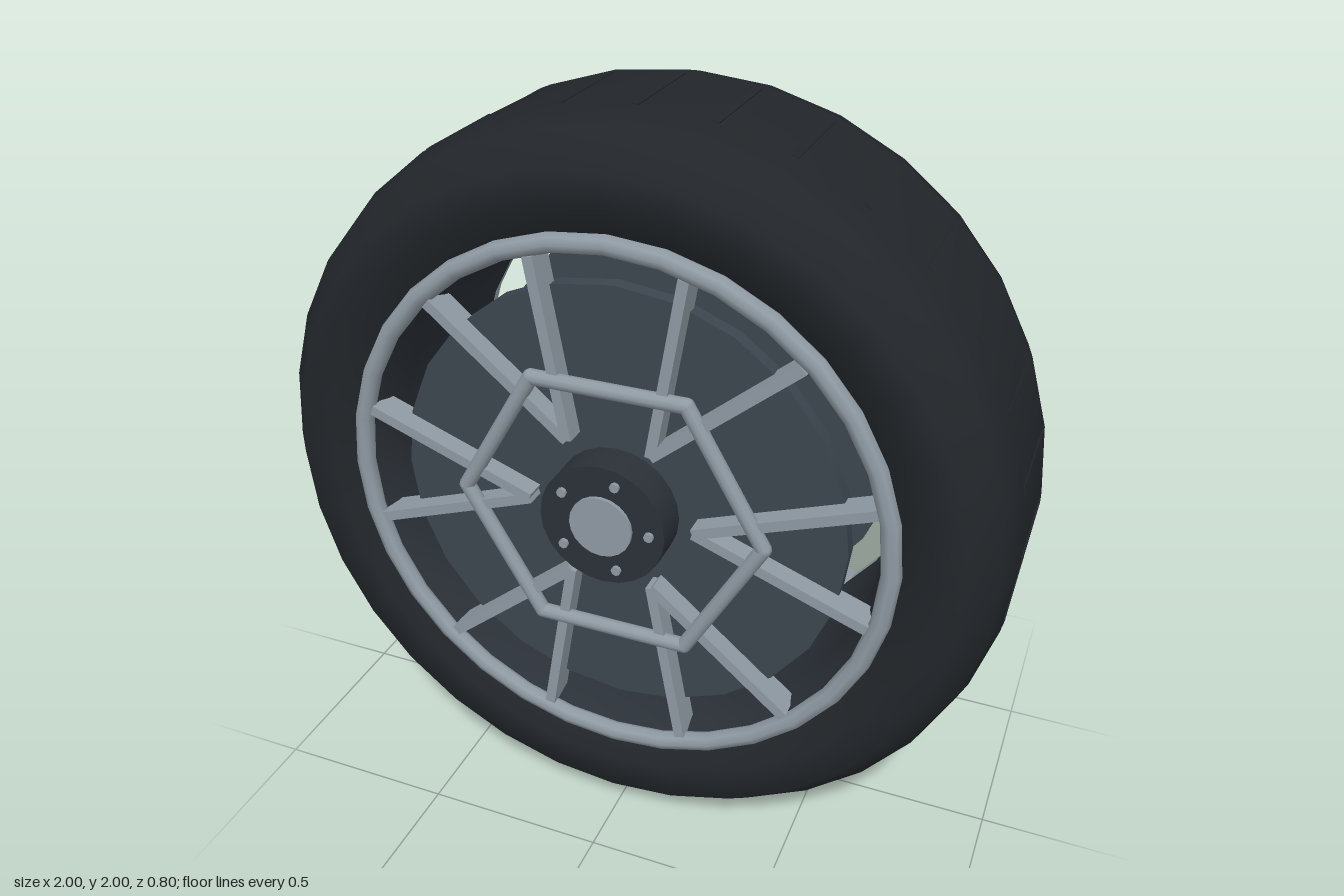
import * as THREE from 'three';

const mat = (color, side = THREE.FrontSide) => new THREE.MeshStandardMaterial({ color, side });
const rubber = mat(0x22262a);
const metal = mat(0x8f9aa3);
const plate = mat(0x3c464f);
const dark = mat(0x2b3138);
const barrelMat = mat(0x2b3138, THREE.DoubleSide);

function add(parent, name, geometry, material) {
  const mesh = new THREE.Mesh(geometry, material);
  mesh.name = name;
  parent.add(mesh);
  return mesh;
}

// Lathe turned about the wheel's axle (z) from [radius, z] pairs
function turned(profile) {
  const points = profile.map(([r, z]) => new THREE.Vector2(r, z));
  return new THREE.LatheGeometry(points, 32).rotateX(Math.PI / 2);
}

// Cylinder along z between two depths
function disc(radius, z0, z1, sides) {
  return new THREE.CylinderGeometry(radius, radius, z1 - z0, sides)
    .rotateX(Math.PI / 2).translate(0, 0, (z0 + z1) / 2);
}

const polar = (r, a, z = 0) => new THREE.Vector3(r * Math.cos(a), r * Math.sin(a), z);

// Everything on one face of the wheel; boltPhase turns the bolt circle
function makeFace(name, boltPhase) {
  const face = new THREE.Group();
  face.name = name;

  add(face, 'rimRing', new THREE.TorusGeometry(0.725, 0.026, 8, 32), metal).position.z = 0.33;
  add(face, 'brakeDisc', disc(0.61, 0.25, 0.29, 24), plate);

  // Hub, centre cap and bolts
  add(face, 'hub', disc(0.17, 0.29, 0.39, 24), dark);
  add(face, 'centreCap', disc(0.085, 0.38, 0.4, 20), metal);
  for (let i = 0; i < 5; i++) {
    const bolt = add(face, 'bolt', disc(0.013, -0.01, 0.01, 8), metal);
    bolt.position.copy(polar(0.13, boltPhase + i * Math.PI * 0.4, 0.39));
  }

  // Six V-shaped spoke pairs and the hexagonal brace
  for (let i = 0; i < 6; i++) {
    const a = i * Math.PI / 3;
    for (const s of [-1, 1]) {
      const from = polar(0.225, a);
      const to = polar(0.7, a + s * 0.24);
      const dir = to.clone().sub(from);
      const spoke = add(face, 'spoke', new THREE.BoxGeometry(dir.length(), 0.028, 0.08), metal);
      spoke.position.copy(from).add(to).multiplyScalar(0.5).setZ(0.305);
      spoke.rotation.z = Math.atan2(dir.y, dir.x);
    }
    const p = polar(0.41, a, 0.338);
    const q = polar(0.41, a + Math.PI / 3, 0.338);
    const bar = add(face, 'hexagonBar', new THREE.CylinderGeometry(0.021, 0.021, 0.41, 10), metal);
    bar.position.copy(p).add(q).multiplyScalar(0.5);
    bar.rotation.z = a + Math.PI / 6;
    add(face, 'hexagonJoint', new THREE.SphereGeometry(0.021, 10, 8), metal).position.copy(p);
  }
  return face;
}

export function createModel() {
  const model = new THREE.Group();
  model.name = 'wheel';
  const wheel = new THREE.Group();
  wheel.name = 'wheelAssembly';
  wheel.position.y = 1;
  model.add(wheel);

  // Tyre: half section mirrored into a closed loop
  const half = [[0.72, 0.29], [0.75, 0.31], [0.82, 0.345], [0.905, 0.355], [0.975, 0.27], [0.999, 0.18]];
  const lower = half.map(([r, z]) => [r, -z]);
  add(wheel, 'tyre', turned([...lower, ...half.slice().reverse(), half[0], lower[0]]), rubber);

  // Tread bars across the crown
  for (let i = 0; i < 32; i++) {
    const a = i * Math.PI / 16;
    const bar = add(wheel, 'treadBar', new THREE.BoxGeometry(0.02, 0.02, 0.3), rubber);
    bar.position.copy(polar(0.991, a));
    bar.rotation.z = a;
  }

  // Open barrel between the two rim rings
  add(wheel, 'rimBarrel', turned([[0.71, -0.33], [0.69, -0.28], [0.675, -0.2],
    [0.675, 0.2], [0.69, 0.28], [0.71, 0.33]]), barrelMat);

  const back = makeFace('backFace', Math.PI);
  back.rotation.y = Math.PI;
  wheel.add(makeFace('frontFace', 0), back);
  return model;
}
